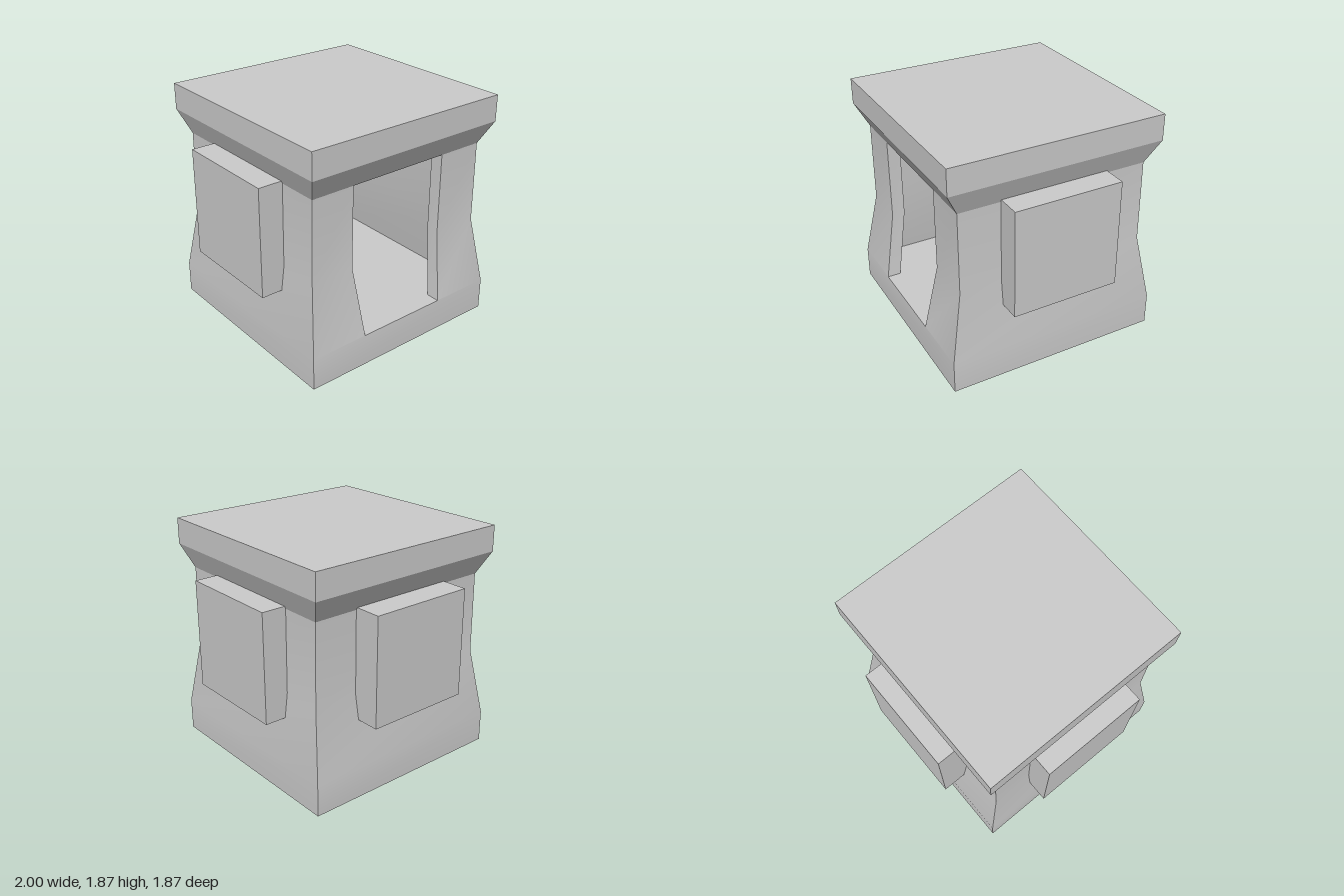
import * as THREE from 'three';
import { toCreasedNormals } from 'three/addons/utils/BufferGeometryUtils.js';

const material = new THREE.MeshStandardMaterial({ color: 0xcccccc });

// Collects quads whose corners run counter-clockwise seen from outside
function surface() {
  const positions = [];
  return {
    quad(a, b, c, d) { positions.push(...a, ...b, ...c, ...a, ...c, ...d); },
    mesh(name) {
      const geometry = new THREE.BufferGeometry();
      geometry.setAttribute('position', new THREE.Float32BufferAttribute(positions, 3));
      const mesh = new THREE.Mesh(toCreasedNormals(geometry, 0.28), material);
      mesh.name = name;
      return mesh;
    },
  };
}

// Rectangular cross-section: front left, front right, back right, back left
const ring = ([y, x, back, front]) => [[-x, y, front], [x, y, front], [x, y, back], [-x, y, back]];

// Levels as y, half width, back z, front z
const outer = [
  [0, 0.875, -0.81, 0.935],
  [0.26, 0.875, -0.81, 0.935],
  [0.81, 0.805, -0.71, 0.835],
  [1.47, 0.80, -0.71, 0.835],
  [1.66, 0.875, -0.81, 0.935],
  [1.87, 0.875, -0.81, 0.935],
].map(ring);

// Room inside the walls
const inner = [
  [0.26, 0.765, -0.70, 0.825],
  [0.81, 0.70, -0.605, 0.73],
  [1.47, 0.695, -0.605, 0.73],
].map(ring);

// Left and right edge of the doorway at each room level
const doorway = [[-0.39, 0.37], [-0.44, 0.42], [-0.44, 0.42]];
const doorEdge = (corners, i) => doorway[i].map((x) => [x, corners[0][1], corners[0][2]]);

function buildShell() {
  const s = surface();

  // Outside walls, with the front left open between floor and lintel
  for (let i = 0; i < outer.length - 1; i++) {
    const a = outer[i], b = outer[i + 1];
    const open = i === 1 || i === 2;
    for (let k = open ? 1 : 0; k < 4; k++) {
      const n = (k + 1) % 4;
      s.quad(a[k], a[n], b[n], b[k]);
    }
  }
  s.quad(...[...outer[0]].reverse());
  s.quad(...outer[5]);

  // Room walls and doorway pillars
  for (let i = 0; i < 2; i++) {
    const a = inner[i], b = inner[i + 1];
    for (let k = 1; k < 4; k++) {
      const n = (k + 1) % 4;
      s.quad(a[n], a[k], b[k], b[n]);
    }
    const oa = outer[i + 1], ob = outer[i + 2];
    const [al, ar] = doorEdge(oa, i), [bl, br] = doorEdge(ob, i + 1);
    const [cl, cr] = doorEdge(a, i), [dl, dr] = doorEdge(b, i + 1);
    s.quad(oa[0], al, bl, ob[0]); // left pillar face
    s.quad(ar, oa[1], ob[1], br); // right pillar face
    s.quad(cl, a[0], b[0], dl);   // pillar backs
    s.quad(a[1], cr, dr, b[1]);
    s.quad(al, cl, dl, bl);       // jambs
    s.quad(cr, ar, br, dr);
  }

  // Floor and ceiling, each with its threshold strip
  s.quad(...inner[0]);
  s.quad(...[...inner[2]].reverse());
  const [fl, fr] = doorEdge(outer[1], 0), [gl, gr] = doorEdge(inner[0], 0);
  s.quad(fl, fr, gr, gl);
  const [tl, tr] = doorEdge(outer[3], 2), [ul, ur] = doorEdge(inner[2], 2);
  s.quad(ul, ur, tr, tl);
  return s.mesh('boothShell');
}

function panel(name, w, h, d, x, y, z) {
  const mesh = new THREE.Mesh(new THREE.BoxGeometry(w, h, d), material);
  mesh.position.set(x, y, z);
  mesh.name = name;
  return mesh;
}

export function createModel() {
  const group = new THREE.Group();
  group.name = 'booth';
  group.add(buildShell());

  // Raised panels on both sides and the back
  for (const side of [-1, 1]) {
    group.add(panel(side > 0 ? 'leftPanel' : 'rightPanel', 0.23, 0.875, 0.875, side * 0.885, 1.0525, 0.0625));
  }
  group.add(panel('backPanel', 0.87, 0.875, 0.25, 0, 1.0525, -0.81));
  return group;
}
